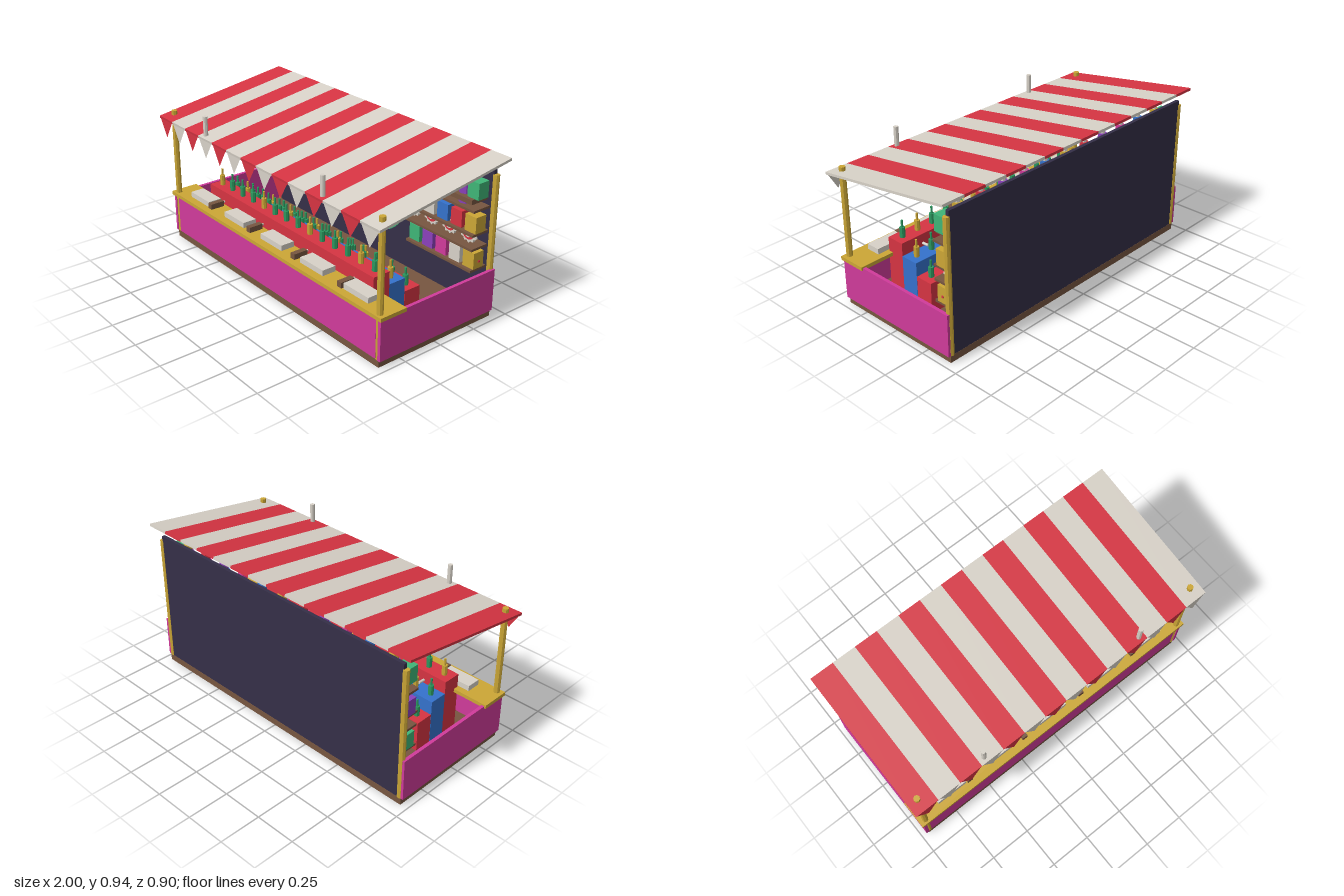
import * as THREE from 'three';

const M = {};
const color = (name, hex, side = THREE.FrontSide) => {
  M[name] = new THREE.MeshStandardMaterial({ color: hex, side });
  M[name].name = name;
};
color('red', 0xd63442, THREE.DoubleSide);
color('white', 0xd8d2c8, THREE.DoubleSide);
color('pink', 0xd03b9b);
color('brown', 0x775640);
color('gold', 0xcca736);
color('midnight', 0x352f48);
color('green', 0x3fb577);
color('blue', 0x3572cc);
color('purple', 0x8b41bb);
color('bottleGreen', 0x2c9a60);

export function createModel() {
  const root = new THREE.Group();
  root.name = 'fairgroundStall';

  const add = (name, geo, mat, x = 0, y = 0, z = 0, parent = root) => {
    const m = new THREE.Mesh(geo, M[mat]);
    m.name = name;
    m.position.set(x, y, z);
    parent.add(m);
    return m;
  };
  // box given by its extents on each axis
  const box = (name, mat, [x0, x1], [y0, y1], [z0, z1], parent = root) =>
    add(name, new THREE.BoxGeometry(x1 - x0, y1 - y0, z1 - z0), mat,
      (x0 + x1) / 2, (y0 + y1) / 2, (z0 + z1) / 2, parent);
  // upright cylinder given by its bottom and top
  const post = (name, mat, r, x, y0, y1, z, sides = 8, parent = root) => {
    const g = new THREE.CylinderGeometry(r, r, y1 - y0, sides).toNonIndexed();
    g.computeVertexNormals();
    return add(name, g, mat, x, (y0 + y1) / 2, z, parent);
  };
  // disc facing +z
  const disc = (name, mat, r, depth, sides, x, y, z, parent = root) =>
    add(name, new THREE.CylinderGeometry(r, r, depth, sides).rotateX(Math.PI / 2), mat, x, y, z, parent);

  // Body
  box('base', 'brown', [-0.955, 0.955], [0, 0.042], [-0.42, 0.395]);
  box('frontPanel', 'pink', [-0.93, 0.93], [0.042, 0.295], [0.375, 0.396]);
  box('backWall', 'midnight', [-0.935, 0.935], [0.042, 0.875], [-0.419, -0.398]);
  box('counter', 'gold', [-0.98, 0.98], [0.283, 0.305], [0.235, 0.41]);
  for (const s of [-1, 1]) {
    box('sideWall', 'pink', [s * 0.96 - 0.01, s * 0.96 + 0.01], [0.042, 0.295], [-0.42, 0.4]);
    post('frontPost', 'gold', 0.018, s * 0.942, 0.042, 0.845, 0.382);
    post('backPost', 'gold', 0.018, s * 0.942, 0.042, 0.845, -0.408);
  }

  // Striped sloping roof with a pennant under each stripe
  const roof = new THREE.Group();
  roof.name = 'roof';
  roof.position.set(0, 0.87, 0);
  roof.rotation.x = Math.atan2(0.135, 0.9);
  root.add(roof);
  const w = 2 / 14;
  const tri = new THREE.Shape([
    new THREE.Vector2(-w / 2, 0), new THREE.Vector2(0, -0.12), new THREE.Vector2(w / 2, 0)]);
  const pennant = new THREE.ShapeGeometry(tri);
  for (let i = 0; i < 14; i++) {
    const x = -1 + w * (i + 0.5);
    const mat = i % 2 ? 'white' : 'red';
    add('roofStripe', new THREE.BoxGeometry(w, 0.015, 0.91), mat, x, 0, 0, roof);
    add('pennant', pennant, mat, x, 0.81, 0.449);
  }
  for (const x of [-0.535, 0.535]) post('roofPole', 'white', 0.014, x, 0.8, 0.93, 0.42);

  // Stepped bottle stand
  const steps = [['red', 0.39, 0.21], ['blue', 0.312, 0.1], ['red', 0.23, -0.012]];
  steps.forEach(([mat, top, z], row) => {
    box('bottleStep', mat, [-0.76, 0.76], [0.042, top], [z - 0.055, z + 0.055]);
    for (let i = 0; i < 14; i++) {
      const x = -0.705 + i * 0.1085;
      const glass = (i + row * 3) % 4 === 0 ? 'gold' : 'bottleGreen';
      post('bottleBody', glass, 0.016, x, top, top + 0.062, z);
      post('bottleNeck', glass, 0.0065, x, top + 0.062, top + 0.104, z);
    }
  });

  // Counter trays and popguns
  for (let i = -2; i <= 2; i++) {
    box('tray', 'white', [i * 0.366 - 0.098, i * 0.366 + 0.098], [0.305, 0.338], [0.275, 0.362]);
  }
  for (const x of [-0.61, -0.21, 0.21, 0.61]) {
    box('gunStock', 'brown', [x - 0.017, x + 0.017], [0.305, 0.338], [0.28, 0.37]);
    const barrel = new THREE.CylinderGeometry(0.008, 0.008, 0.2, 8).rotateX(Math.PI / 2 + 0.07);
    add('gunBarrel', barrel, 'white', x, 0.328, 0.21);
  }

  // Shelves
  const shelfZ = [-0.398, -0.28];
  for (const [y, half] of [[0.43, 0.92], [0.655, 0.92], [0.697, 0.9], [0.711, 0.9]]) {
    box('shelf', 'brown', [-half, half], [y - 0.007, y + 0.007], shelfZ);
  }
  for (const y of [0.303, 0.514]) {
    box('shelfRight', 'brown', [-0.92, -0.42], [y - 0.007, y + 0.007], shelfZ);
    box('shelfLeft', 'brown', [0.42, 0.92], [y - 0.007, y + 0.007], shelfZ);
  }

  // Boxed prizes
  const prize = (mat, x, y) => box('prize', mat, [x - 0.04, x + 0.04], [y, y + 0.096], [-0.375, -0.301]);
  const prizeRows = [
    [0.31, ['green', 'pink', 'purple', 'white', 'gold'], ['green', 'purple', 'pink', 'white', 'gold']],
    [0.521, ['purple', 'white', 'gold', 'red', 'gold'], ['purple', 'white', 'blue', 'red', 'gold']],
  ];
  for (const [y, a, b] of prizeRows) {
    a.forEach((mat, i) => prize(mat, -0.885 + i * 0.104, y));
    b.forEach((mat, i) => prize(mat, 0.465 + i * 0.104, y));
  }
  prize('green', -0.885, 0.718);
  prize('green', 0.885, 0.718);
  box('prizeTag', 'red', [0.92, 0.926], [0.345, 0.357], [-0.346, -0.334]);

  // Standing dolls on the upper shelf
  const dollColors = ['purple', 'red', 'gold', 'blue', 'pink'];
  for (let i = 0; i < 11; i++) {
    const x = -0.8 + i * 0.16;
    post('dollBody', dollColors[i % 5], 0.035, x, 0.662, 0.8, -0.337);
    post('dollHead', dollColors[(i + 2) % 5], 0.025, x, 0.8, 0.845, -0.337);
    post('dollHat', 'white', 0.015, x, 0.845, 0.877, -0.337);
  }

  // Prize wheel
  const sectors = ['gold', 'blue', 'green', 'pink', 'purple', 'gold',
    'white', 'red', 'gold', 'blue', 'green', 'red'];
  sectors.forEach((mat, i) => {
    add('wheelSector', new THREE.CircleGeometry(0.31, 6, i * Math.PI / 6, Math.PI / 6), mat, 0, 0.497, -0.393);
  });
  disc('wheelHub', 'gold', 0.035, 0.048, 16, 0, 0.497, -0.37);

  // Row of scalloped targets
  const rim = new THREE.Shape();
  for (let k = 0; k < 24; k++) {
    for (const d of [0.05, 0.45]) {
      const r = k % 2 ? 0.052 : 0.061;
      const t = (k + d) * Math.PI / 12;
      rim[k || d > 0.1 ? 'lineTo' : 'moveTo'](r * Math.cos(t), r * Math.sin(t));
    }
  }
  const rimGeo = new THREE.ExtrudeGeometry(rim, { depth: 0.014, bevelEnabled: false });
  for (let i = -6; i <= 6; i++) {
    const t = new THREE.Group();
    t.name = 'target';
    t.position.set(i * 0.141, 0.5, -0.335);
    root.add(t);
    add('targetRim', rimGeo, 'white', 0, 0, -0.007, t);
    disc('targetRedRing', 'red', 0.042, 0.004, 20, 0, 0, 0.008, t);
    disc('targetWhiteRing', 'white', 0.028, 0.004, 20, 0, 0, 0.011, t);
    disc('targetBullseye', 'red', 0.016, 0.004, 16, 0, 0, 0.014, t);
  }
  return root;
}
